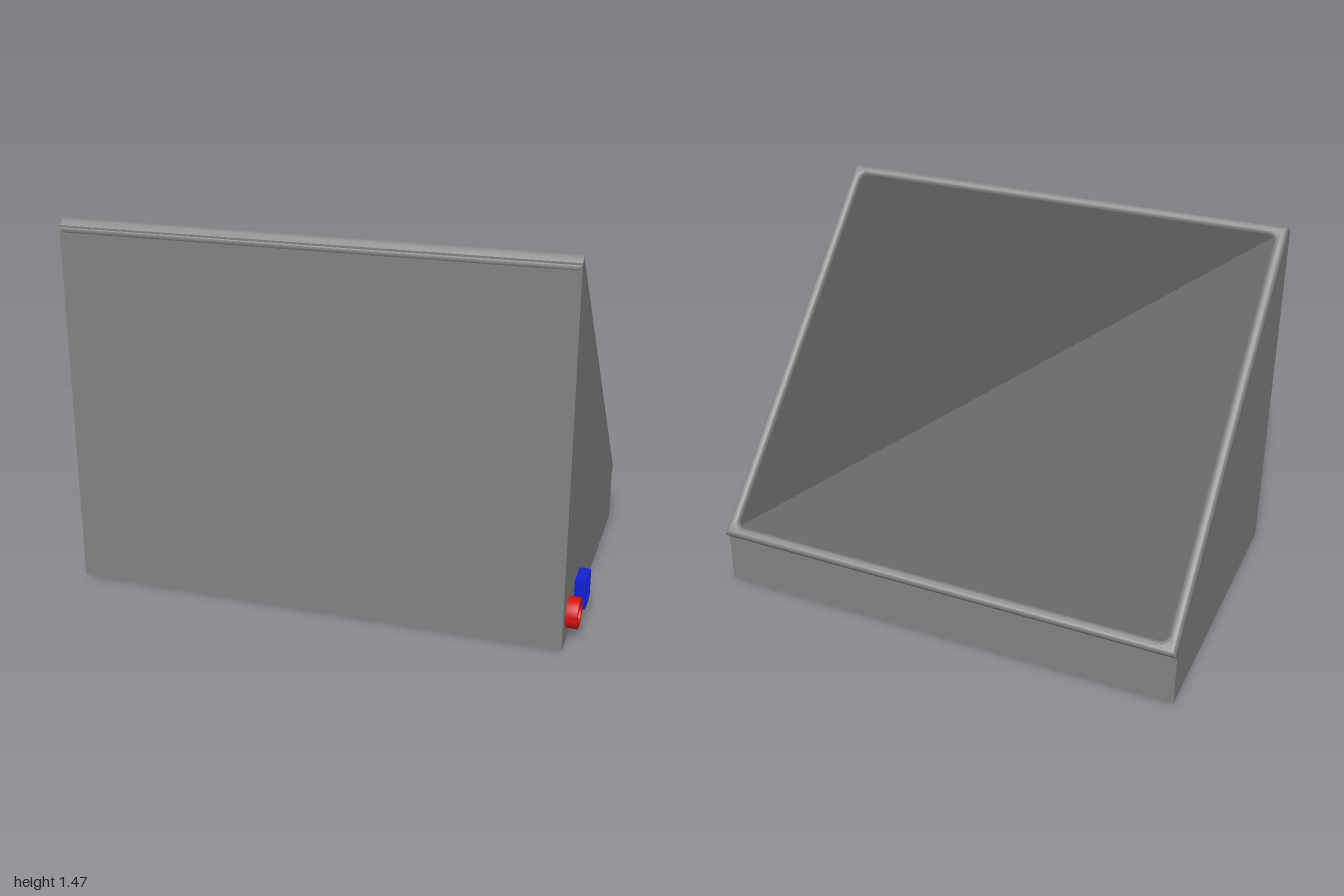
import * as THREE from 'three';
import { toCreasedNormals } from 'three/addons/utils/BufferGeometryUtils.js';

const X0 = -1, X1 = 0.955, MID = (X0 + X1) / 2, W = X1 - X0;
const grey = new THREE.MeshStandardMaterial({ color: 0x808080 });
const black = new THREE.MeshStandardMaterial({ color: 0x111111 });
const red = new THREE.MeshStandardMaterial({ color: 0xd01414 });
const blue = new THREE.MeshStandardMaterial({ color: 0x1020d0 });

function add(parent, name, geometry, material, x = 0, y = 0, z = 0) {
  const mesh = new THREE.Mesh(geometry, material);
  mesh.name = name;
  mesh.position.set(x, y, z);
  parent.add(mesh);
  return mesh;
}

// Centred rectangle, with rounded corners when r > 0
function rect(w, h, r = 0, Type = THREE.Shape) {
  const s = new Type(), a = w / 2, b = h / 2;
  if (!r) {
    s.moveTo(-a, -b).lineTo(a, -b).lineTo(a, b).lineTo(-a, b).closePath();
    return s;
  }
  s.absarc(a - r, b - r, r, 0, Math.PI / 2);
  s.absarc(r - a, b - r, r, Math.PI / 2, Math.PI);
  s.absarc(r - a, r - b, r, Math.PI, Math.PI * 1.5);
  s.absarc(a - r, r - b, r, Math.PI * 1.5, Math.PI * 2);
  s.closePath();
  return s;
}

function circle(r, Type = THREE.Shape) {
  return new Type().absarc(0, 0, r, 0, Math.PI * 2);
}

// Extruded ring whose bevels stay inside the outline; z runs from -bevel to depth + bevel
function ring(outer, hole, depth, bevel, bevelSegments) {
  outer.holes.push(hole);
  return toCreasedNormals(new THREE.ExtrudeGeometry(outer, {
    depth, bevelThickness: bevel, bevelSize: bevel, bevelOffset: -bevel, bevelSegments, curveSegments: 20,
  }), 0.6);
}

// Hollow socket facing +x, with a recessed floor and contact pins
function socket(name, z, material, outer, hole, floor, pins, pinRadius) {
  const g = new THREE.Group();
  g.name = name;
  g.position.set(X1, 0.107, z);
  g.rotation.y = Math.PI / 2;
  add(g, name + 'Rim', ring(outer, hole, 0.041, 0.004, 2), material);
  add(g, name + 'Floor', new THREE.ShapeGeometry(floor, 20), material, 0, 0, 0.012);
  const pin = new THREE.CylinderGeometry(pinRadius, pinRadius, 0.036, 16).rotateX(Math.PI / 2);
  for (const [x, y] of pins) add(g, name + 'Pin', pin, material, x, y, 0.018);
  return g;
}

export function createModel() {
  const model = new THREE.Group();
  model.name = 'slopedConsole';

  // Wedge housing: side profile (z, y) extruded along x
  const profile = new THREE.Shape([
    [0.63, 0], [0.63, 1.45], [-0.605, 0.215], [-0.605, 0],
  ].map(([z, y]) => new THREE.Vector2(z, y)));
  const body = new THREE.ExtrudeGeometry(profile, { depth: W, bevelEnabled: false });
  body.rotateY(-Math.PI / 2).translate(X1, 0, 0);
  add(model, 'housing', body, grey);

  // Sloped display: local z points out of the slope, local y runs downhill
  const display = new THREE.Group();
  display.name = 'display';
  display.rotation.x = -Math.PI * 0.75;
  model.add(display);
  const low = 0.278, high = -1.466, H = low - high, midY = (low + high) / 2, rim = 0.045;
  const hole = rect(W - 2 * rim, H - 2 * rim, 0.03, THREE.Path);
  add(display, 'bezel', ring(rect(W, H), hole, 0.028, 0.02, 5), grey, MID, midY, 0.58);
  add(display, 'screen', new THREE.BoxGeometry(W - 0.06, H - 0.06, 0.03), black, MID, midY, 0.595);

  // Round and square sockets on the left flank
  model.add(socket('roundSocket', 0.527, red, circle(0.059), circle(0.04, THREE.Path),
    circle(0.045), [[0, 0]], 0.012));
  const p = 0.016;
  model.add(socket('squareSocket', 0.329, blue, rect(0.116, 0.116), rect(0.086, 0.086, 0, THREE.Path),
    rect(0.095, 0.095), [[-p, -p], [p, -p], [-p, p], [p, p]], 0.007));

  return model;
}
